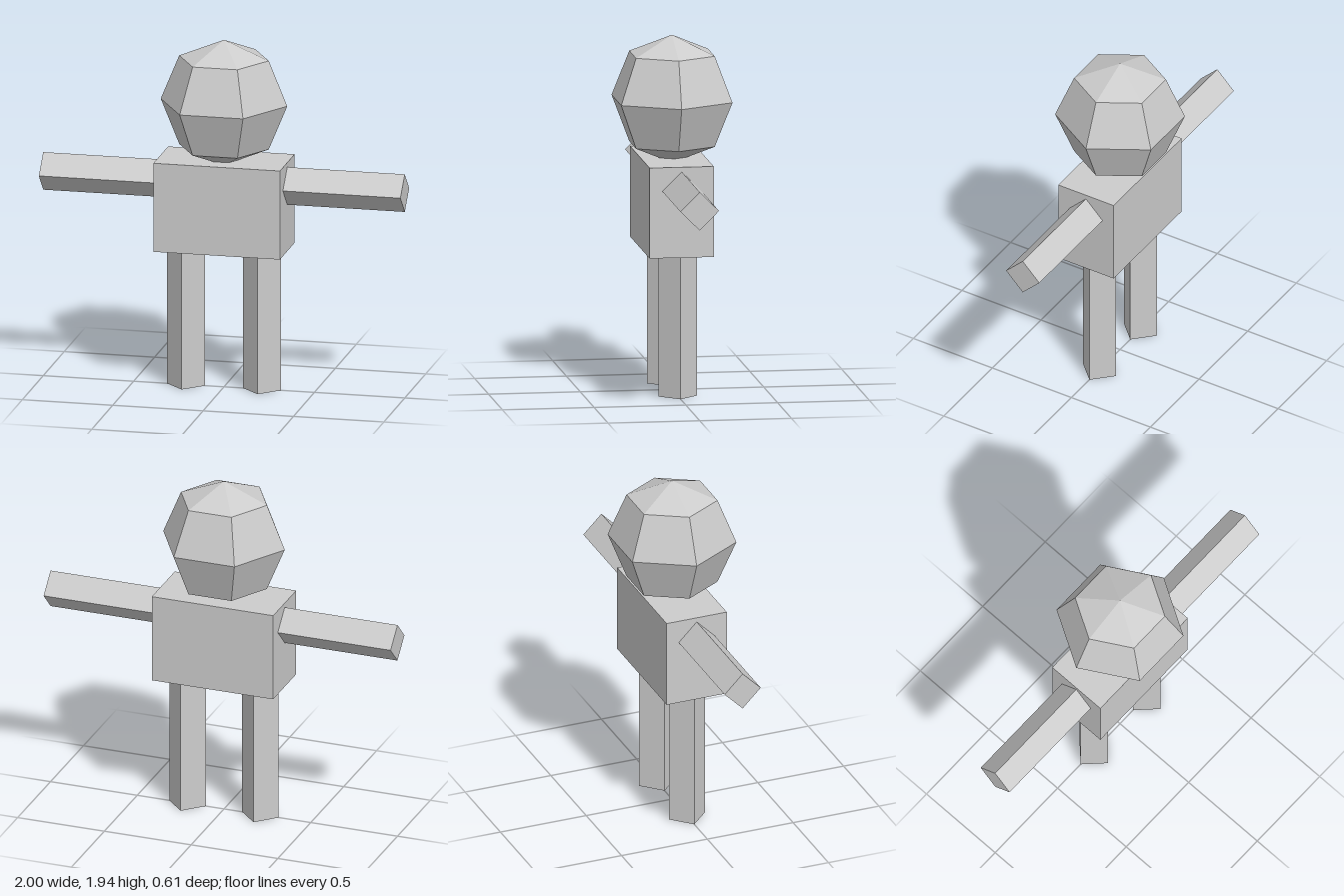
import * as THREE from 'three';

export function createModel() {
  const group = new THREE.Group();
  const grey = new THREE.MeshStandardMaterial({ color: 0xcccccc, flatShading: true });
  grey.name = 'light grey';

  const add = (name, geometry, x, y) => {
    const mesh = new THREE.Mesh(geometry, grey);
    mesh.name = name;
    mesh.position.set(x, y, 0);
    group.add(mesh);
    return mesh;
  };

  // Six-sided low-poly head, its lower tip sunk into the torso
  add('head', new THREE.SphereGeometry(0.35, 6, 4), 0, 1.59);

  // Box torso
  add('torso', new THREE.BoxGeometry(0.7, 0.495, 0.35), 0, 1.0275);

  // Square limbs turned edge-forward, mirrored on both sides
  const limbRadius = 0.105;
  const armLength = 0.7, legLength = 0.8;
  for (const [side, s] of [['left', 1], ['right', -1]]) {
    const arm = add(side + 'Arm',
      new THREE.CylinderGeometry(limbRadius, limbRadius, armLength, 4), s * (1 - armLength / 2), 1.145);
    arm.rotation.z = -s * Math.PI / 2;
    add(side + 'Leg',
      new THREE.CylinderGeometry(limbRadius, limbRadius, legLength, 4), s * 0.21, legLength / 2);
  }

  return group;
}
